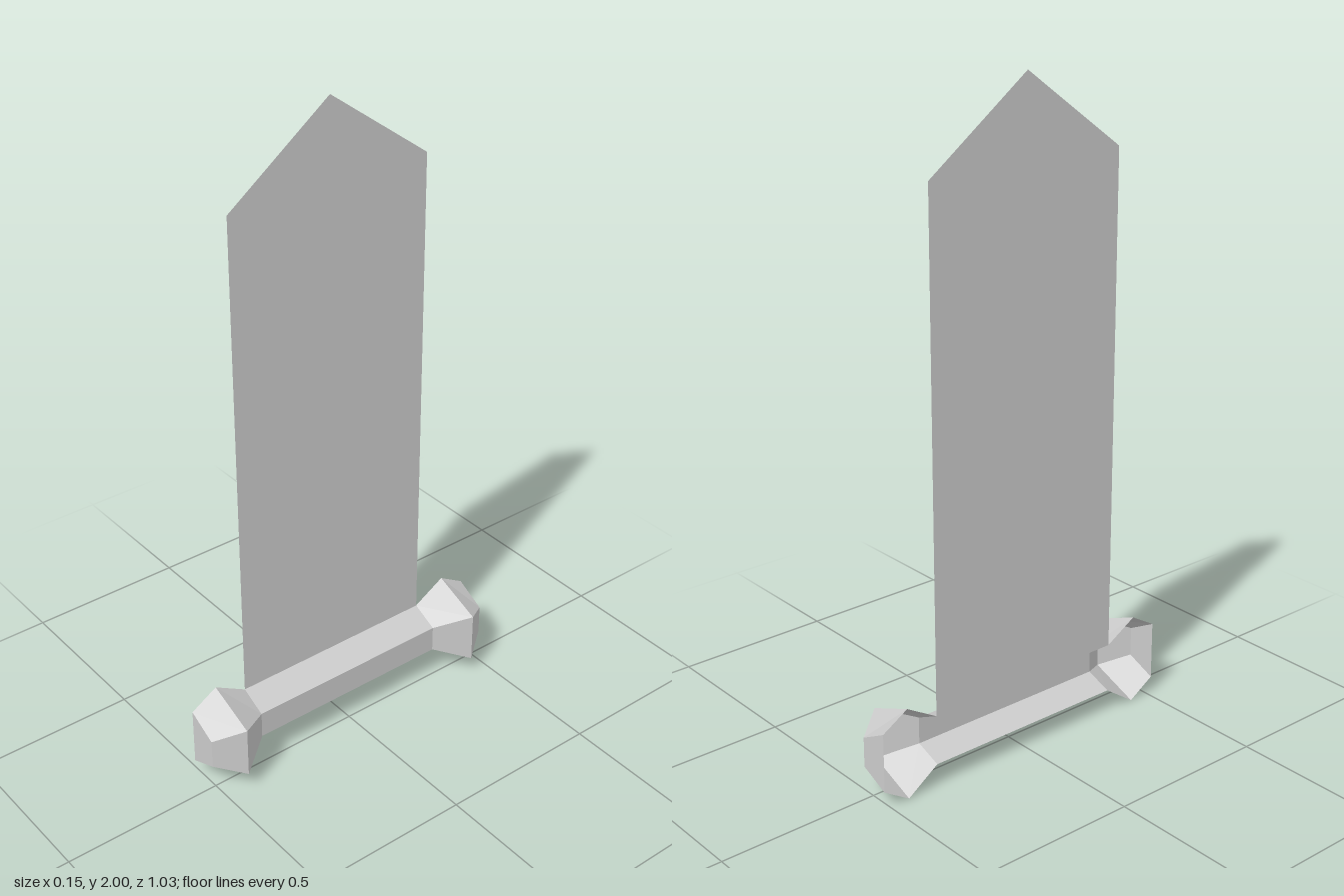
import * as THREE from 'three';

const BACK = -0.078; // wall plane: everything is open towards it

// Cross-sections of the rod along z: [z, backTop, frontTop, frontBottom, backBottom, frontX]
const half = [
  [0.331, 0.23, 0.19, 0.106, 0.075, 0.004],
  [0.433, 0.29, 0.227, 0.065, 0.004, 0.076],
  [0.517, 0.24, 0.19, 0.097, 0.057, 0.015],
];

function rodGeometry() {
  const mirrored = half.map(([z, ...rest]) => [-z, ...rest]).reverse();
  const rings = [...mirrored, ...half].map(([z, bt, ft, fb, bb, x]) => [
    [BACK, bt, z], [x, ft, z], [x, fb, z], [BACK, bb, z],
  ]);
  const pos = [];
  const tri = (...points) => points.forEach((p) => pos.push(...p));

  // Side faces; the back stays open
  for (let i = 0; i < rings.length - 1; i++) {
    for (let j = 0; j < 3; j++) {
      const a = rings[i][j], b = rings[i][j + 1];
      const d = rings[i + 1][j], c = rings[i + 1][j + 1];
      tri(a, d, b);
      tri(b, d, c);
    }
  }
  // End faces
  const s = rings[0], e = rings[rings.length - 1];
  tri(s[0], s[1], s[2]);
  tri(s[0], s[2], s[3]);
  tri(e[0], e[2], e[1]);
  tri(e[0], e[3], e[2]);

  const geo = new THREE.BufferGeometry();
  geo.setAttribute('position', new THREE.Float32BufferAttribute(pos, 3));
  geo.computeVertexNormals();
  return geo;
}

function clothGeometry() {
  const shape = new THREE.Shape([
    new THREE.Vector2(-0.331, 0.23),
    new THREE.Vector2(0.331, 0.23),
    new THREE.Vector2(0.331, 1.757),
    new THREE.Vector2(0, 2),
    new THREE.Vector2(-0.331, 1.757),
  ]);
  return new THREE.ShapeGeometry(shape).rotateY(Math.PI / 2).translate(BACK, 0, 0);
}

export function createModel() {
  const group = new THREE.Group();
  group.name = 'banner';
  const material = new THREE.MeshStandardMaterial({
    color: 0xcccccc, flatShading: true, side: THREE.DoubleSide,
  });

  // Half rod with flared knobs at both ends
  const rod = new THREE.Mesh(rodGeometry(), material);
  rod.name = 'rod';

  // Flat pointed cloth against the wall
  const cloth = new THREE.Mesh(clothGeometry(), material);
  cloth.name = 'cloth';

  group.add(rod, cloth);
  return group;
}
